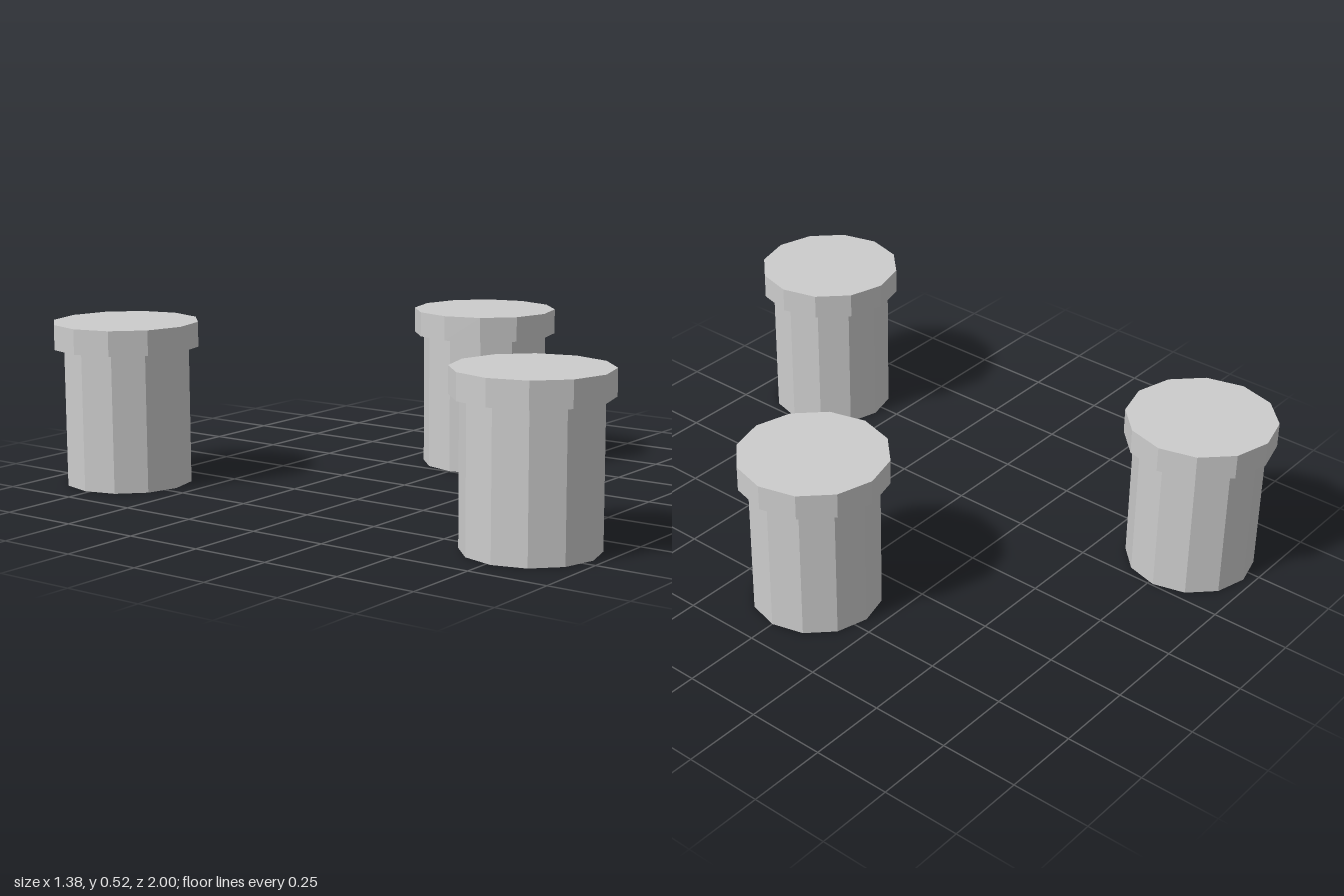
import * as THREE from 'three';

const SIDES = 12;
const HEIGHT = 0.52;
const CAP_BASE = 0.44;

export function createModel() {
  const model = new THREE.Group();
  model.name = 'cappedPosts';

  const grey = new THREE.MeshStandardMaterial({ color: 0xcccccc, flatShading: true });
  grey.name = 'light grey';

  // Faceted drum standing between two heights
  const drum = (name, radius, bottom, top) => {
    const geometry = new THREE.CylinderGeometry(radius, radius, top - bottom, SIDES);
    geometry.translate(0, (bottom + top) / 2, 0);
    const mesh = new THREE.Mesh(geometry, grey);
    mesh.name = name;
    return mesh;
  };

  // Three posts, each a shaft with a wider flat cap
  const posts = [
    ['frontPost', -0.459, 0.766],
    ['backPost', -0.459, -0.766],
    ['leftPost', 0.457, 0],
  ];
  for (const [name, x, z] of posts) {
    const post = new THREE.Group();
    post.name = name;
    post.add(drum('shaft', 0.203, 0, CAP_BASE), drum('cap', 0.234, CAP_BASE, HEIGHT));
    post.position.set(x, 0, z);
    model.add(post);
  }

  return model;
}
